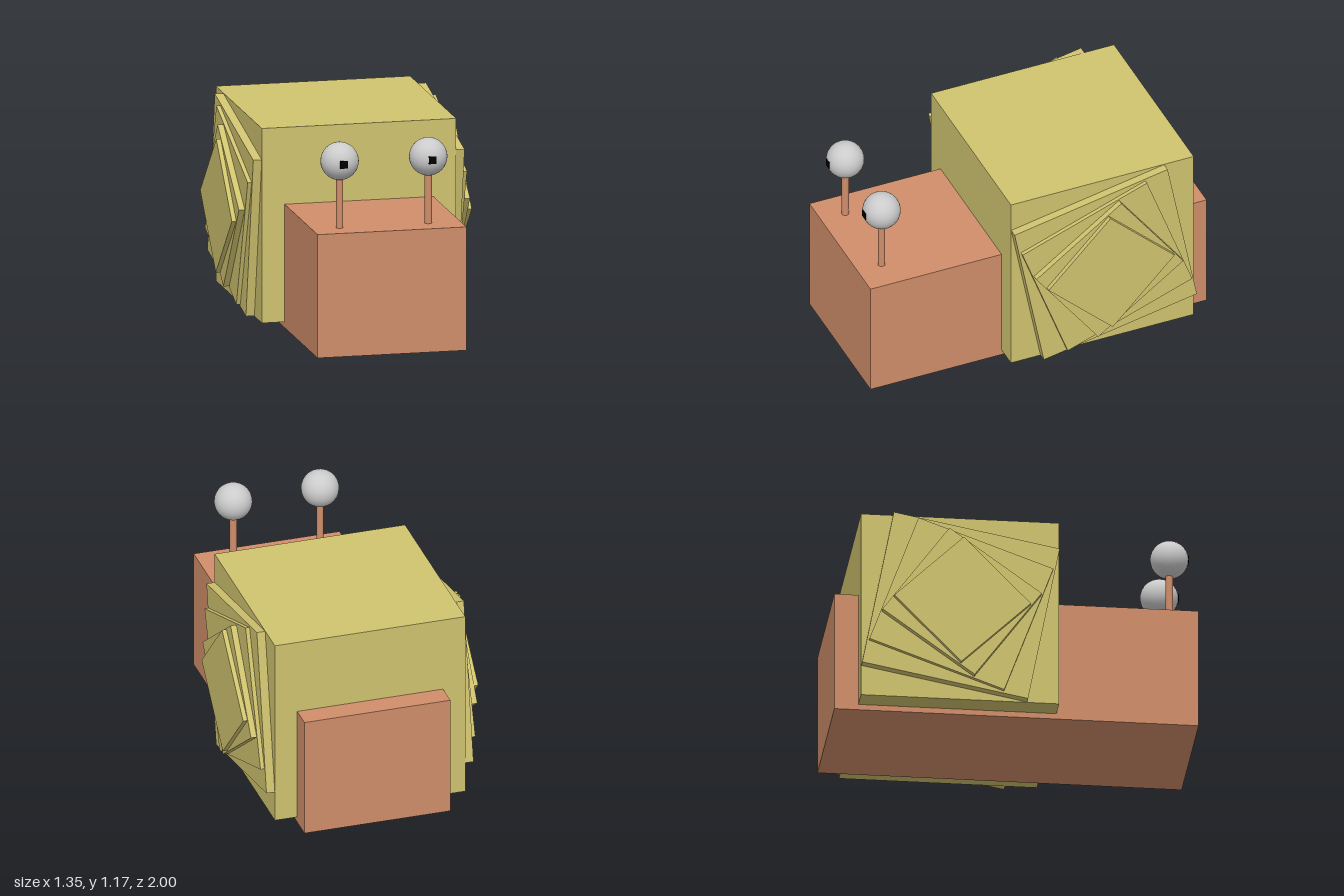
import * as THREE from 'three';

const paint = (color) => new THREE.MeshStandardMaterial({ color });

export function createModel() {
  const model = new THREE.Group();
  const skin = paint(0xd08e6a);
  const shellPaint = paint(0xd0c36f);
  const eyeGrey = paint(0xcccccc);
  const black = paint(0x000000);

  const add = (name, geometry, material, x, y, z, parent = model) => {
    const mesh = new THREE.Mesh(geometry, material);
    mesh.name = name;
    mesh.position.set(x, y, z);
    parent.add(mesh);
    return mesh;
  };

  // Long block body
  add('body', new THREE.BoxGeometry(0.835, 0.69, 2), skin, -0.003, 0.345, 0);

  // Shell: a large block with smaller, wider blocks twisted through it
  const shell = new THREE.Group();
  shell.name = 'shell';
  shell.position.set(-0.003, 0.576, -0.324);
  model.add(shell);
  const layers = [ // width, square side, twist in degrees
    [1.09, 1.088, 0],
    [1.185, 0.927, 10.8],
    [1.23, 0.788, 20],
    [1.296, 0.626, 36],
    [1.346, 0.53, 46],
  ];
  layers.forEach(([width, side, twist], i) => {
    const layer = add(`shellLayer${i + 1}`, new THREE.BoxGeometry(width, side, side), shellPaint, 0, 0, 0, shell);
    layer.rotation.x = THREE.MathUtils.degToRad(twist);
  });

  // Eyes on stalks, each with a square pupil
  for (const [side, x] of [['right', -0.263], ['left', 0.234]]) {
    const eye = new THREE.Group();
    eye.name = `${side}Eye`;
    eye.position.set(x, 0, 0.856);
    model.add(eye);
    add('stalk', new THREE.CylinderGeometry(0.02, 0.02, 0.36, 32), skin, 0, 0.84, 0, eye);
    add('eyeball', new THREE.SphereGeometry(0.105, 32, 16), eyeGrey, 0, 1.063, 0, eye);
    add('pupil', new THREE.BoxGeometry(0.042, 0.042, 0.042), black, 0, 1.063, 0.085, eye);
  }

  return model;
}
